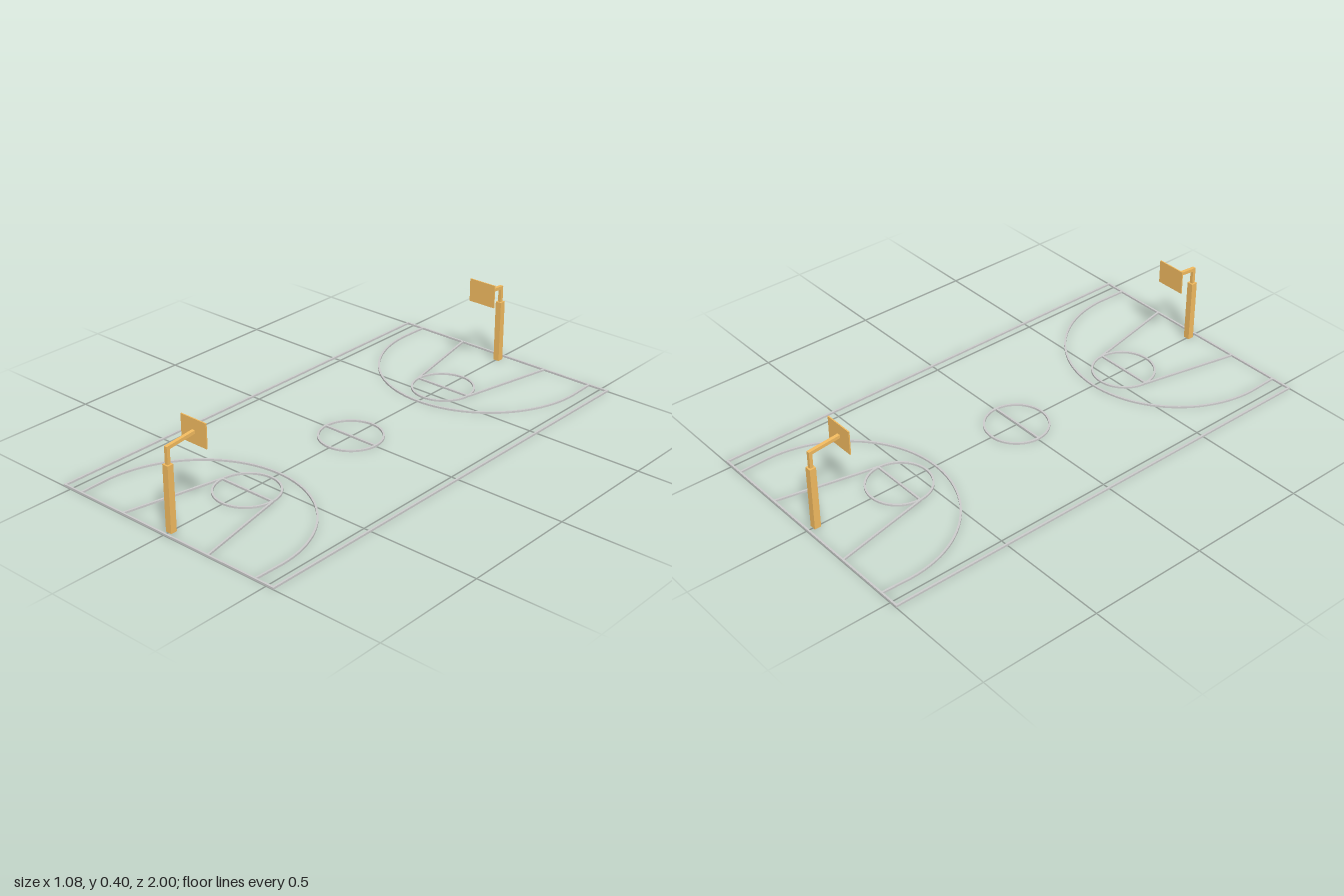
import * as THREE from 'three';

const LINE_W = 0.008, LINE_H = 0.008;
const lineMat = new THREE.MeshStandardMaterial({ color: 0xcccccc, flatShading: true });
const hoopMat = new THREE.MeshStandardMaterial({ color: 0xf2bb60, flatShading: true });

function add(parent, name, geometry, material) {
  const mesh = new THREE.Mesh(geometry, material);
  mesh.name = name;
  parent.add(mesh);
  return mesh;
}

// Straight floor marking between two (x, z) points
function straightLine(parent, name, x1, z1, x2, z2) {
  const length = Math.hypot(x2 - x1, z2 - z1);
  const mesh = add(parent, name, new THREE.BoxGeometry(length, LINE_H, LINE_W), lineMat);
  mesh.position.set((x1 + x2) / 2, LINE_H / 2, (z1 + z2) / 2);
  mesh.rotation.y = -Math.atan2(z2 - z1, x2 - x1);
}

// Flat shape in (x, z) raised to the thickness of the markings
function slab(parent, name, shape) {
  const geo = new THREE.ExtrudeGeometry(shape, { depth: LINE_H, bevelEnabled: false, curveSegments: 48 });
  geo.rotateX(Math.PI / 2).translate(0, LINE_H, 0);
  add(parent, name, geo, lineMat);
}

// Full circle marking
function circleLine(parent, name, z, radius) {
  const shape = new THREE.Shape().absarc(0, z, radius + LINE_W / 2, 0, Math.PI * 2);
  shape.holes.push(new THREE.Path().absarc(0, z, radius - LINE_W / 2, 0, Math.PI * 2, true));
  slab(parent, name, shape);
}

// Large arc with nearly straight ends running to the baseline
function largeArc(parent) {
  const cz = 0.87, rx = 0.449, rz = 0.461, endX = 0.445, endZ = 0.996, steps = 48;
  const edge = (offset) => [
    new THREE.Vector2(endX + offset, endZ),
    ...Array.from({ length: steps + 1 }, (_, i) => {
      const a = -Math.PI * i / steps;
      return new THREE.Vector2((rx + offset) * Math.cos(a), cz + (rz + offset) * Math.sin(a));
    }),
    new THREE.Vector2(-endX - offset, endZ),
  ];
  slab(parent, 'threePointArc', new THREE.Shape([...edge(LINE_W / 2), ...edge(-LINE_W / 2).reverse()]));
}

// Post, bent arm and backboard
function hoopStand() {
  const stand = new THREE.Group();
  stand.name = 'hoopStand';
  const postZ = 0.963, boardZ = 0.833, t = 0.007;
  add(stand, 'post', new THREE.BoxGeometry(0.027, 0.27, 0.027), hoopMat).position.set(0, 0.135, postZ);

  // Side profile of the bent arm, drawn in (z, y)
  const profile = new THREE.Shape([
    [postZ + t, 0.265], [postZ + t, 0.341], [boardZ, 0.354],
    [boardZ, 0.341], [postZ - t, 0.328], [postZ - t, 0.265],
  ].map(([z, y]) => new THREE.Vector2(z, y)));
  const arm = new THREE.ExtrudeGeometry(profile, { depth: 2 * t, bevelEnabled: false });
  arm.rotateY(-Math.PI / 2).translate(t, 0, 0);
  add(stand, 'arm', arm, hoopMat);

  add(stand, 'backboard', new THREE.BoxGeometry(0.126, 0.1, 0.005), hoopMat).position.set(0, 0.348, boardZ);
  return stand;
}

// Markings of one half; the outline is very slightly skewed
function courtHalf(name) {
  const half = new THREE.Group();
  half.name = name;
  const endZ = 1 - LINE_W / 2, throwZ = 0.58;
  straightLine(half, 'baseline', -0.538, endZ, 0.534, endZ);
  straightLine(half, 'sideline', -0.534, 1, -0.53, -1);
  for (const s of [-1, 1]) {
    straightLine(half, 'keySide', s * 0.218, endZ, s * 0.131, throwZ);
  }
  straightLine(half, 'freeThrowLine', -0.131, throwZ, 0.131, throwZ);
  circleLine(half, 'freeThrowCircle', throwZ, 0.129);
  largeArc(half);
  return half;
}

export function createModel() {
  const model = new THREE.Group();
  model.name = 'basketballCourt';

  const front = courtHalf('frontHalf');
  const back = courtHalf('backHalf');
  back.rotation.y = Math.PI;

  // Hoop stands, the back one set slightly further in
  const frontStand = hoopStand();
  frontStand.position.x = 0.002;
  const backStand = hoopStand();
  backStand.rotation.y = Math.PI;
  backStand.position.set(0.002, 0, 0.005);
  model.add(front, back, frontStand, backStand);

  // Centre markings
  circleLine(model, 'centreCircle', 0, 0.129);
  straightLine(model, 'halfwayLine', -0.129, 0.003, 0.129, 0.003);
  return model;
}
